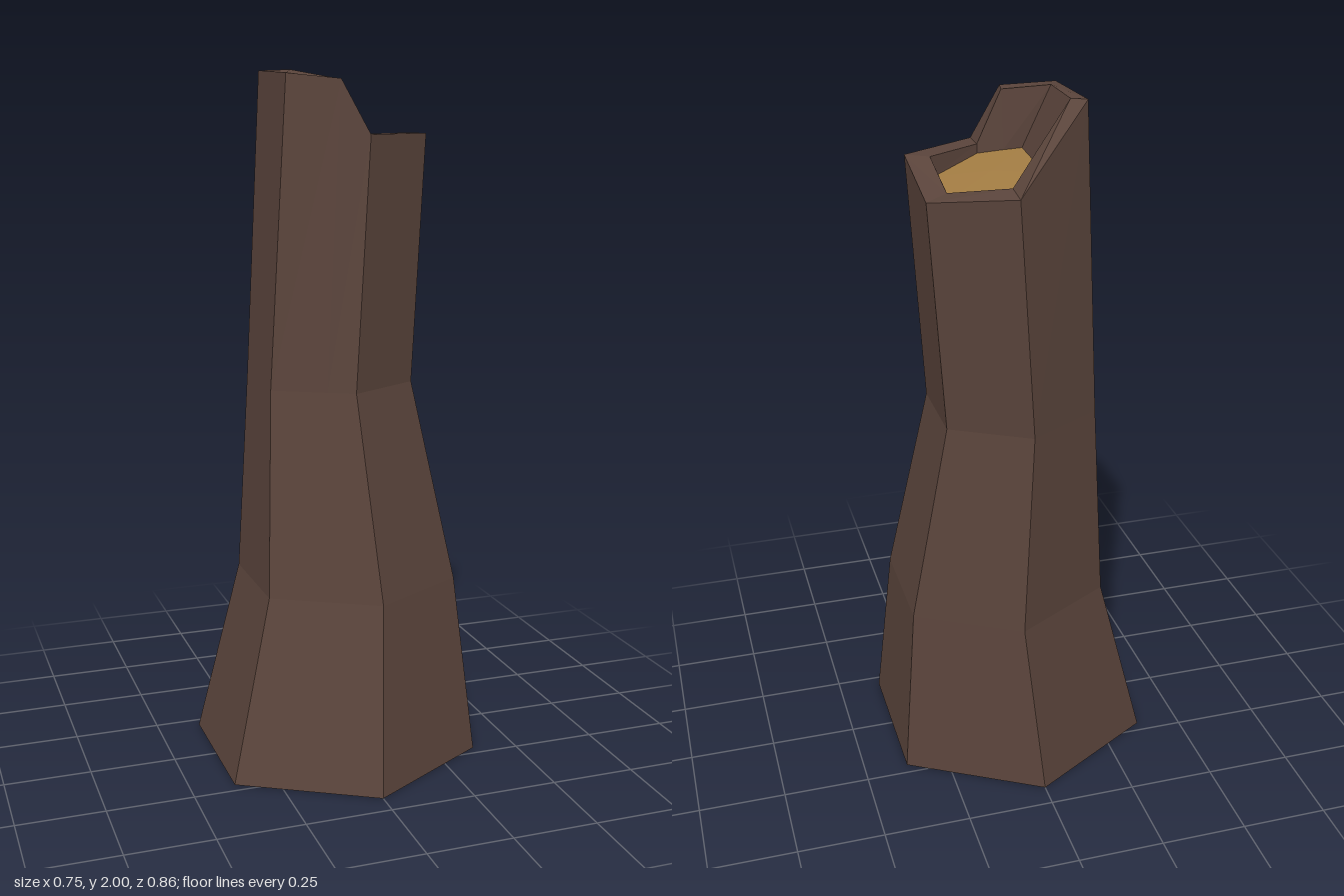
import * as THREE from 'three';

const bark = new THREE.MeshStandardMaterial({ color: 0x5a443b, flatShading: true, side: THREE.DoubleSide });
bark.name = 'bark brown';
const wood = new THREE.MeshStandardMaterial({ color: 0xa17b42, flatShading: true, side: THREE.DoubleSide });
wood.name = 'heartwood ochre';

// Hexagonal trunk section, with a seventh point on the front left edge below the notch
function hexRing(y, cx, cz, r) {
  const points = [];
  for (let i = 0; i < 6; i++) {
    const a = Math.PI / 6 - i * Math.PI / 3;
    points.push([cx + r * Math.cos(a), y, cz + r * Math.sin(a)]);
  }
  const [leftFront, front] = [points[4], points[5]];
  points.splice(5, 0, leftFront.map((v, k) => v + (front[k] - v) * 0.667));
  return points;
}

// Joins successive rings with quads, without shared vertices
function loft(rings) {
  const pos = [];
  for (let r = 0; r < rings.length - 1; r++) {
    const lower = rings[r], upper = rings[r + 1], n = lower.length;
    for (let i = 0; i < n; i++) {
      const j = (i + 1) % n;
      pos.push(...lower[i], ...lower[j], ...upper[j], ...lower[i], ...upper[j], ...upper[i]);
    }
  }
  return toGeometry(pos);
}

// Fills a ring with triangles around its middle
function cap(ring) {
  const mid = [0, 1, 2].map(k => ring.reduce((s, p) => s + p[k], 0) / ring.length);
  const pos = [];
  ring.forEach((p, i) => pos.push(...mid, ...p, ...ring[(i + 1) % ring.length]));
  return toGeometry(pos);
}

function toGeometry(pos) {
  const g = new THREE.BufferGeometry();
  g.setAttribute('position', new THREE.Float32BufferAttribute(pos, 3));
  g.computeVertexNormals();
  return g;
}

export function createModel() {
  const group = new THREE.Group();
  group.name = 'hollowStump';
  const add = (name, geometry, material) => {
    const mesh = new THREE.Mesh(geometry, material);
    mesh.name = name;
    group.add(mesh);
  };

  // Broken top: right front, right back, back, left back, left front, notch, front
  const outerRim = [
    [0.275, 1.825, 0.015], [0.275, 1.765, -0.235], [0.062, 1.79, -0.355], [-0.15, 2, -0.235],
    [-0.15, 1.99, 0.035], [-0.01, 1.975, 0.095], [0.062, 1.825, 0.137],
  ];
  const innerRim = [
    [0.214, 1.825, -0.025], [0.212, 1.775, -0.197], [0.062, 1.8, -0.285], [-0.11, 2, -0.213],
    [-0.11, 2, -0.05], [0, 1.975, 0.043], [0.062, 1.825, 0.066],
  ];
  const floor = [
    [0.202, 1.77, -0.022], [0.202, 1.755, -0.19], [0.062, 1.775, -0.272], [-0.045, 1.812, -0.21],
    [-0.045, 1.825, -0.005], [0, 1.815, 0.024], [0.062, 1.8, 0.063],
  ];

  // Crooked trunk, open underneath
  add('trunk', loft([
    hexRing(0, 0, 0, 0.431),
    hexRing(0.52, 0.047, -0.033, 0.332),
    hexRing(1.11, 0.01, -0.078, 0.248),
    outerRim,
  ]), bark);
  add('rim', loft([outerRim, innerRim]), bark);
  add('hollowWall', loft([innerRim, floor]), bark);
  add('hollowFloor', cap(floor), wood);
  return group;
}
